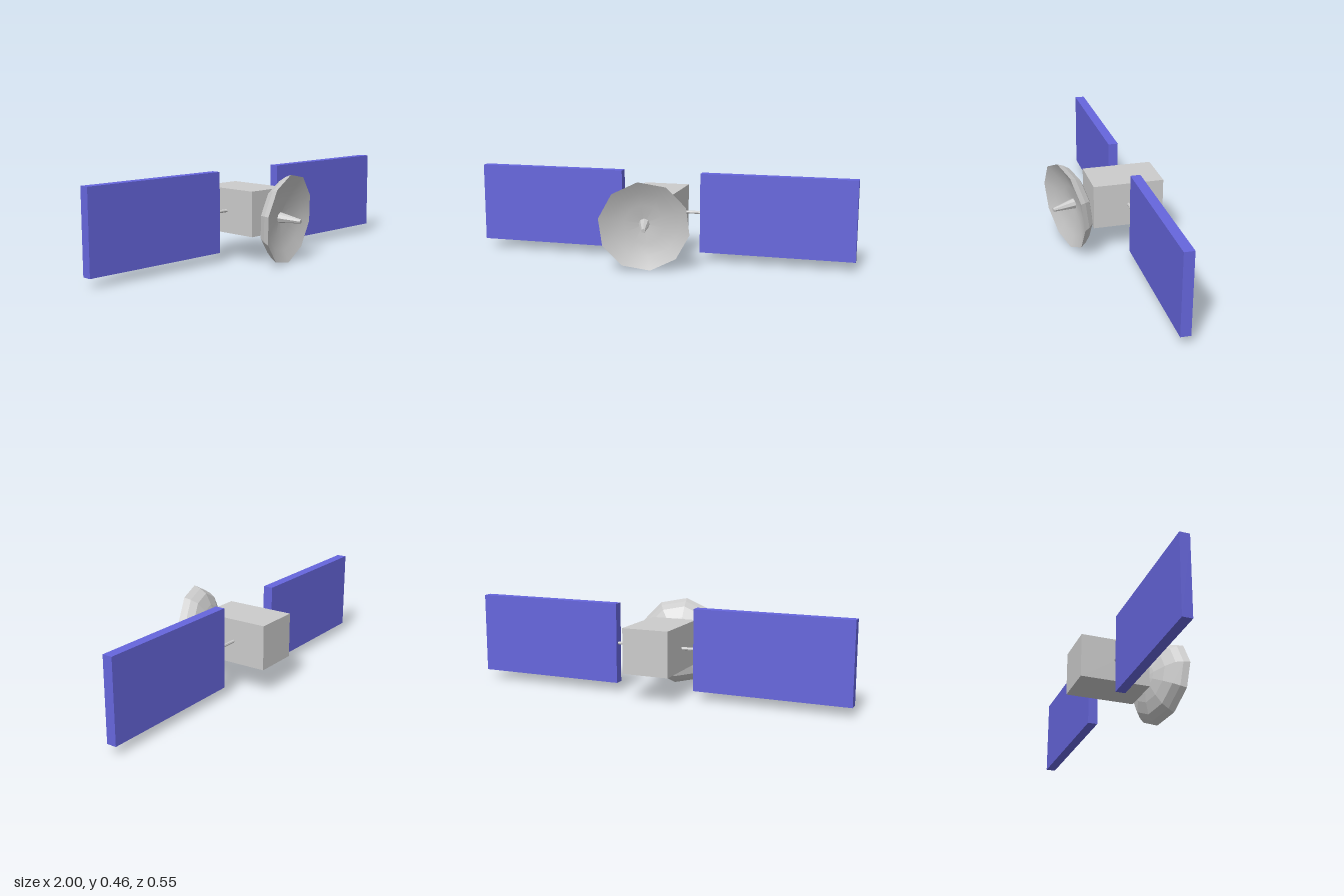
import * as THREE from 'three';

const grey = new THREE.MeshStandardMaterial({ color: 0xcccccc });
const greyFlat = new THREE.MeshStandardMaterial({ color: 0xcccccc, flatShading: true });
const blue = new THREE.MeshStandardMaterial({ color: 0x6666dd });

function add(parent, name, geometry, material, x = 0, y = 0, z = 0) {
  const mesh = new THREE.Mesh(geometry, material);
  mesh.name = name;
  mesh.position.set(x, y, z);
  parent.add(mesh);
  return mesh;
}

// Ten-sided surface of revolution about +z, from [radius, z] points
function bowl(points) {
  const profile = points.map(([r, z]) => new THREE.Vector2(r, z));
  return new THREE.LatheGeometry(profile, 10, 0.13).rotateX(Math.PI / 2);
}

function createDish() {
  const dish = new THREE.Group();
  dish.name = 'dish';

  // Faceted back shell and shallow smooth front, meeting in a sharp rim
  add(dish, 'dishBack', bowl([
    [0, -0.114], [0.06, -0.107], [0.13, -0.088], [0.187, -0.063], [0.212, -0.031], [0.228, 0],
  ]), greyFlat);
  add(dish, 'dishFront', bowl([
    [0.228, 0], [0.17, -0.026], [0.1, -0.046], [0, -0.058],
  ]), grey);

  // Tapered feed horn along the dish axis
  const horn = new THREE.CylinderGeometry(0.01, 0.028, 0.12, 8).rotateX(Math.PI / 2);
  add(dish, 'feedHorn', horn, greyFlat, 0, 0, 0.002);

  // Aimed a little to the left and down
  dish.position.set(-0.005, 0.229, 0.215);
  dish.lookAt(dish.position.clone().add(new THREE.Vector3(0.258, -0.092, 1)));
  return dish;
}

export function createModel() {
  const model = new THREE.Group();
  model.name = 'satellite';

  add(model, 'body', new THREE.BoxGeometry(0.24, 0.228, 0.36), grey, -0.02, 0.254, -0.094);

  // Axle carrying the two solar panels
  const axle = new THREE.CylinderGeometry(0.008, 0.008, 0.44, 8).rotateZ(Math.PI / 2);
  add(model, 'panelAxle', axle, greyFlat, 0, 0.254, -0.095);
  for (const side of [-1, 1]) {
    add(model, side > 0 ? 'leftSolarPanel' : 'rightSolarPanel',
      new THREE.BoxGeometry(0.79, 0.41, 0.05), blue, side * 0.605, 0.254, -0.095);
  }

  model.add(createDish());
  return model;
}
